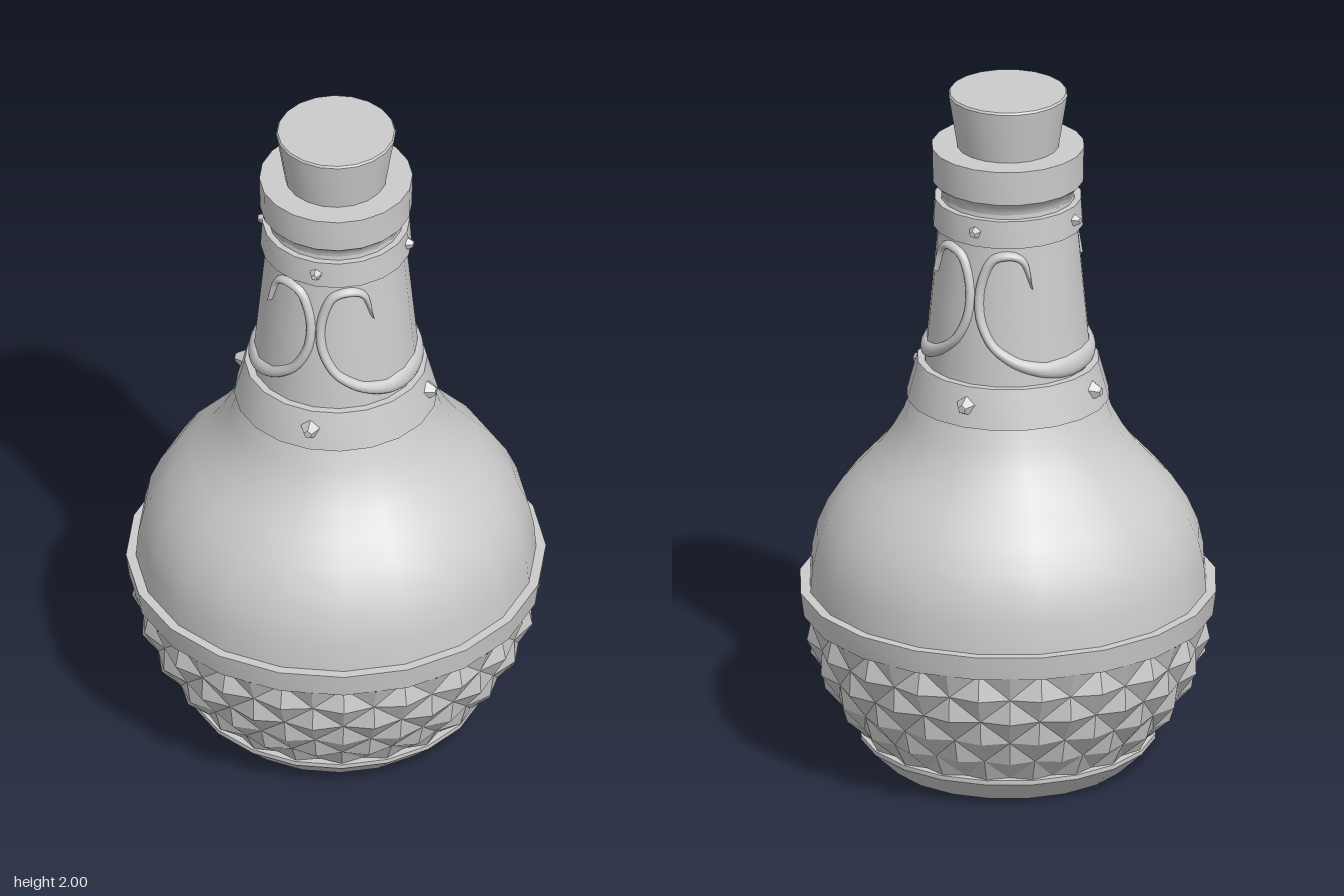
import * as THREE from 'three';
import { toCreasedNormals } from 'three/addons/utils/BufferGeometryUtils.js';

const SIDES = 20;
const grey = new THREE.MeshStandardMaterial({ color: 0xcccccc });
const faceted = new THREE.MeshStandardMaterial({ color: 0xcccccc, flatShading: true });

function addMesh(parent, name, geometry, material = grey) {
  const mesh = new THREE.Mesh(geometry, material);
  mesh.name = name;
  parent.add(mesh);
  return mesh;
}

// Turned part from [radius, height] pairs, bottom to top
function turned(parent, name, profile) {
  const points = profile.map(([r, y]) => new THREE.Vector2(r, y));
  return addMesh(parent, name, toCreasedNormals(new THREE.LatheGeometry(points, SIDES), 0.6));
}

// Grid of points joined into an indexed surface; flip(i, j) picks the quad diagonal
function gridSurface(cols, rows, point, flip) {
  const positions = [], index = [];
  for (let i = 0; i <= cols; i++)
    for (let j = 0; j <= rows; j++) positions.push(...point(i, j));
  for (let i = 0; i < cols; i++)
    for (let j = 0; j < rows; j++) {
      const a = i * (rows + 1) + j, b = a + rows + 1, c = b + 1, d = a + 1;
      if (flip(i, j)) index.push(a, b, d, b, c, d);
      else index.push(a, b, c, a, c, d);
    }
  const g = new THREE.BufferGeometry();
  g.setAttribute('position', new THREE.Float32BufferAttribute(positions, 3));
  g.setIndex(index);
  g.computeVertexNormals();
  return g;
}

// Lower bowl covered in raised diamond pyramids
function quiltGeometry() {
  const radii = [0.41, 0.475, 0.52, 0.553, 0.572, 0.578];
  const heights = [0.08, 0.155, 0.23, 0.305, 0.38, 0.455];
  const isPeak = (i, k) => (i + k) % 2 === 0;
  return gridSurface(SIDES * 2, 5, (i, k) => {
    const a = (i / (SIDES * 2)) * Math.PI * 2;
    const r = radii[k] - (isPeak(i, k) ? 0 : 0.022);
    return [r * Math.sin(a), heights[k], r * Math.cos(a)];
  }, isPeak);
}

// Neck radius at height y
const neckRadius = (y) => 0.235 - (y - 1.2) * 0.095;

// Raised scroll: front curl, round the side, back curl. Keys: [degrees, height, half width]
function scrollGeometry(side) {
  const half = [
    [45, 1.485, 0.002], [40, 1.555, 0.01], [24, 1.58, 0.014], [10.5, 1.55, 0.014],
    [4, 1.47, 0.014], [4.5, 1.41, 0.014], [12, 1.335, 0.014], [27, 1.28, 0.016],
    [50, 1.243, 0.022], [70, 1.234, 0.03],
  ];
  const back = half.map(([a, y, w]) => [180 - a, y, w]).reverse();
  const path = new THREE.CatmullRomCurve3([...half, [90, 1.234, 0.032], ...back].map(
    ([a, y, w]) => new THREE.Vector3(side * THREE.MathUtils.degToRad(a), y, w)));
  const steps = 120, across = 8;
  return gridSurface(steps, across, (i, j) => {
    const p = path.getPoint(i / steps), t = path.getTangent(i / steps);
    const r0 = neckRadius(p.y);
    const along = t.x * r0, len = Math.hypot(along, t.y);
    const s = -Math.cos((j / across) * Math.PI), off = s * Math.max(p.z, 0.002);
    const a = p.x - (t.y / len) * off / r0;
    const y = p.y + (along / len) * off;
    const r = neckRadius(y) - 0.006 + 0.02 * Math.sqrt(Math.max(0, 1 - s * s));
    return [r * Math.sin(a), y, r * Math.cos(a)];
  }, () => false);
}

// Four five-sided studs spaced round a band
function studs(parent, name, radius, y, size, tilt) {
  const geometry = new THREE.CylinderGeometry(size * 0.4, size, 0.03, 5);
  geometry.rotateY(Math.PI).rotateX(Math.PI / 2 - tilt);
  geometry.translate(0, y, radius);
  for (let i = 0; i < 4; i++)
    addMesh(parent, name, geometry, faceted).rotation.y = (i * Math.PI) / 2;
}

export function createModel() {
  const bottle = new THREE.Group();
  bottle.name = 'bottle';

  // Foot and bowl
  turned(bottle, 'foot', [[0, 0], [0.345, 0], [0.418, 0.07], [0.418, 0.083], [0.36, 0.083]]);
  addMesh(bottle, 'quiltedBowl', quiltGeometry(), faceted);
  turned(bottle, 'belt', [[0.54, 0.452], [0.58, 0.452], [0.589, 0.522], [0.55, 0.522]]);
  turned(bottle, 'shoulder', [
    [0.562, 0.515], [0.555, 0.6], [0.54, 0.67], [0.51, 0.74], [0.465, 0.81], [0.41, 0.87],
    [0.36, 0.925], [0.325, 0.975], [0.295, 1.03], [0.27, 1.1],
  ]);

  // Neck, bands and lip
  turned(bottle, 'collar', [[0.25, 1.088], [0.286, 1.088], [0.256, 1.2], [0.22, 1.2]]);
  turned(bottle, 'neck', [[0.237, 1.18], [0.216, 1.4], [0.197, 1.6], [0.188, 1.7]]);
  turned(bottle, 'neckBand', [[0.185, 1.608], [0.212, 1.608], [0.207, 1.688], [0.18, 1.688]]);
  turned(bottle, 'lip', [
    [0.184, 1.68], [0.186, 1.705], [0.197, 1.725], [0.213, 1.74], [0.215, 1.84], [0.13, 1.84],
  ]);

  // Decoration
  for (const side of [1, -1])
    addMesh(bottle, side > 0 ? 'leftScroll' : 'rightScroll', scrollGeometry(side));
  studs(bottle, 'collarStud', 0.277, 1.143, 0.031, 0);
  studs(bottle, 'neckStud', 0.211, 1.648, 0.024, 0);

  // Cork
  turned(bottle, 'cork', [[0.14, 1.82], [0.168, 1.994], [0.164, 2], [0, 2]]);

  return bottle;
}
